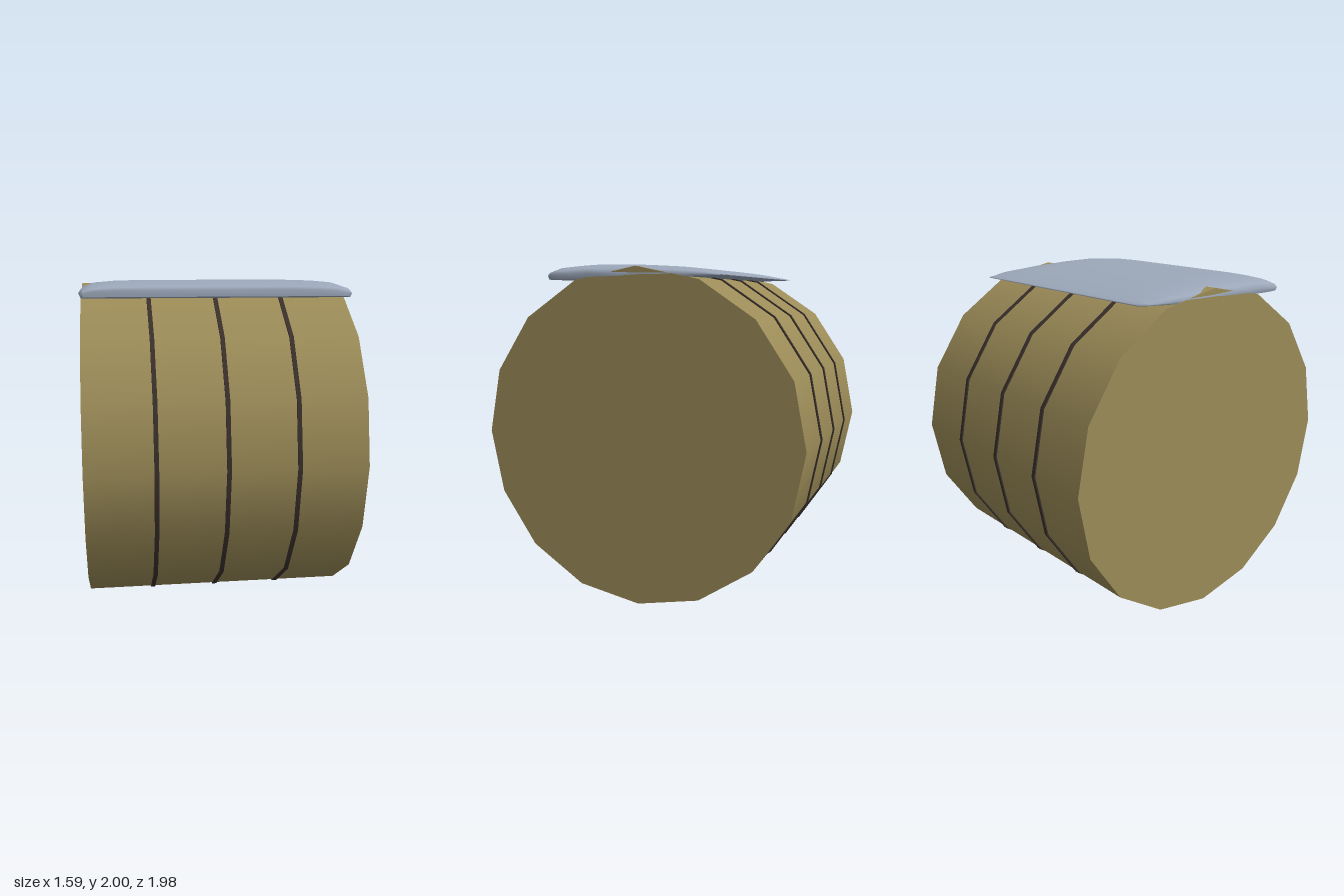
import * as THREE from 'three';

const CENTRE_Y = 0.994;

// Sixteen-sided drum lying along x
function drum(name, radius, length, x, material) {
  const geometry = new THREE.CylinderGeometry(radius, radius, length, 16);
  geometry.rotateZ(Math.PI / 2);
  const mesh = new THREE.Mesh(geometry, material);
  mesh.name = name;
  mesh.position.set(x, CENTRE_Y, 0);
  return mesh;
}

// Rounded slab lofted from front to back, thinning to a blade at the rear
function padGeometry() {
  // z, half width, bottom, top
  const stations = [
    [0.56, 0.765, 1.912, 1.95], [0.552, 0.785, 1.905, 1.967], [0.5, 0.795, 1.905, 1.985],
    [0.4, 0.795, 1.905, 1.995], [0.3, 0.795, 1.905, 2.0], [0.1, 0.793, 1.905, 1.997],
    [0, 0.79, 1.905, 1.992], [-0.15, 0.79, 1.91, 1.983], [-0.3, 0.787, 1.916, 1.968],
    [-0.38, 0.78, 1.92, 1.957], [-0.46, 0.755, 1.921, 1.941], [-0.515, 0.73, 1.922, 1.93],
  ];
  // Half of the rounded cross-section: share of width, share of height
  const half = [[0.985, 0], [1, 0.35], [0.975, 0.62], [0.9, 0.84], [0.75, 0.95], [0.55, 1]];
  const section = [...half, [0, 1], ...half.map(([x, y]) => [-x, y]).reverse()];
  const last = section.length - 1;
  // Repeated corners keep the underside flat
  const ring = [...section, section[last], section[0]];
  const n = ring.length;
  const positions = [];
  const index = [];
  for (const [z, w, bottom, top] of stations) {
    for (const [x, y] of ring) positions.push(x * w, bottom + y * (top - bottom), z);
  }
  for (let i = 0; i < stations.length - 1; i++) {
    for (let j = 0; j < n - 1; j++) {
      if (j === last) continue;
      const a = i * n + j;
      index.push(a, a + n, a + 1, a + n, a + n + 1, a + 1);
    }
  }
  // Front and rear ends
  const rear = (stations.length - 1) * n;
  for (let j = 1; j < last; j++) {
    index.push(0, j, j + 1, rear, rear + j + 1, rear + j);
  }
  const geometry = new THREE.BufferGeometry();
  geometry.setAttribute('position', new THREE.Float32BufferAttribute(positions, 3));
  geometry.setIndex(index);
  geometry.computeVertexNormals();
  return geometry;
}

export function createModel() {
  const model = new THREE.Group();
  const bodyMaterial = new THREE.MeshStandardMaterial({ color: 0x9c8c58 });
  const bandMaterial = new THREE.MeshStandardMaterial({ color: 0x3a302c });
  const padMaterial = new THREE.MeshStandardMaterial({ color: 0x9ca8ba });

  model.add(drum('rollBody', 0.982, 1.575, 0, bodyMaterial));

  // Three thin bands around the roll
  const bands = new THREE.Group();
  bands.name = 'bands';
  for (const x of [-0.394, 0, 0.394]) bands.add(drum('band', 0.99, 0.025, x, bandMaterial));
  model.add(bands);

  const pad = new THREE.Mesh(padGeometry(), padMaterial);
  pad.name = 'topPad';
  model.add(pad);
  return model;
}
